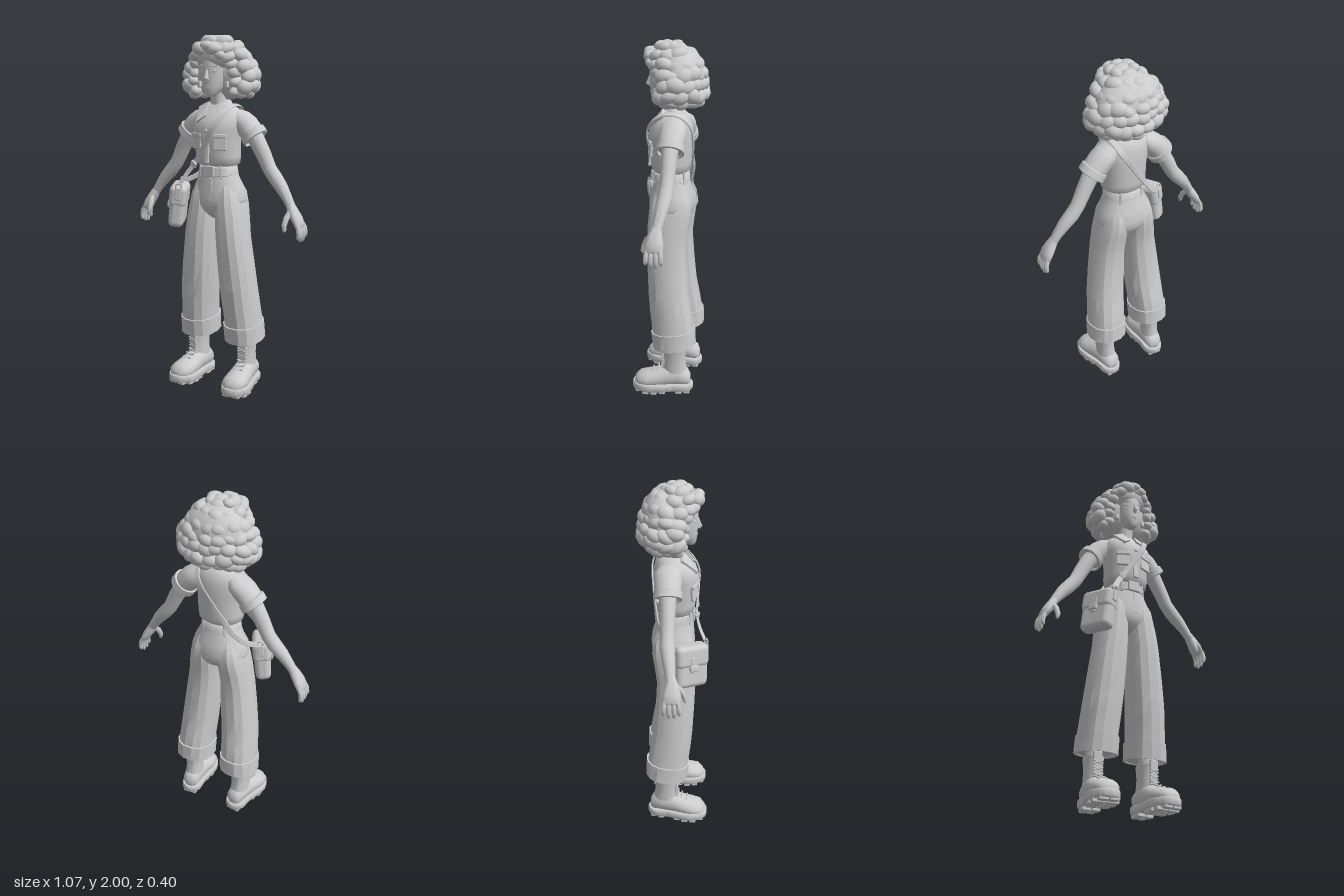
import * as THREE from 'three';
import { toCreasedNormals } from 'three/addons/utils/BufferGeometryUtils.js';
import { RoundedBoxGeometry } from 'three/addons/geometries/RoundedBoxGeometry.js';
import { ConvexGeometry } from 'three/addons/geometries/ConvexGeometry.js';

const V = (x, y, z) => new THREE.Vector3(x, y, z);
const X = V(1, 0, 0), Y = V(0, 1, 0), Z = V(0, 0, 1);
const clay = new THREE.MeshStandardMaterial({ color: 0xcccccc });
clay.name = 'light grey clay';

// Skin rounded cross-sections [x, y, z, ru, rv]; pow above 2 makes them boxier
function loft(secs, { n = 18, ref = X, t = null, pow = 2, crease = 0.9 } = {}) {
  const c = secs.map(s => V(s[0], s[1], s[2])), pos = [], idx = [];
  const sp = k => Math.sign(k) * Math.abs(k) ** (2 / pow);
  secs.forEach((s, i) => {
    const d = (t ? t.clone() : c[Math.min(i + 1, c.length - 1)].clone().sub(c[Math.max(i - 1, 0)])).normalize();
    const r = (typeof ref === 'function' ? ref(c[i], d) : ref).clone();
    const u = r.addScaledVector(d, -r.dot(d)).normalize(), v = u.clone().cross(d);
    for (let j = 0; j < n; j++) {
      const a = j / n * Math.PI * 2;
      pos.push(...c[i].clone().addScaledVector(u, s[3] * sp(Math.cos(a))).addScaledVector(v, s[4] * sp(Math.sin(a))).toArray());
    }
  });
  const last = (secs.length - 1) * n, cap = secs.length * n;
  for (let i = 0; i < secs.length - 1; i++) for (let j = 0; j < n; j++) {
    const a = i * n + j, b = i * n + (j + 1) % n;
    idx.push(a, a + n, b, b, a + n, b + n);
  }
  pos.push(...c[0].toArray(), ...c[c.length - 1].toArray());
  for (let j = 0; j < n; j++) {
    const k = (j + 1) % n;
    idx.push(cap, j, k, cap + 1, last + k, last + j);
  }
  const g = new THREE.BufferGeometry();
  g.setAttribute('position', new THREE.Float32BufferAttribute(pos, 3));
  g.setIndex(idx);
  return toCreasedNormals(g, crease);
}
// Upright section from half width, front z, back z and x offset
const band = ([y, rx, zf, zb, x = 0]) => [x, y, (zf + zb) / 2, rx, (zf - zb) / 2];
const box = (w, h, d, r = 0.006) => new RoundedBoxGeometry(w, h, d, 2, r);
const ball = (r, w = 14, h = 10) => new THREE.SphereGeometry(r, w, h);

function add(parent, name, geo, p = [0, 0, 0], rot = [0, 0, 0], scale = [1, 1, 1]) {
  const m = new THREE.Mesh(geo, clay);
  m.name = name;
  m.position.set(...p); m.rotation.set(...rot); m.scale.set(...scale);
  parent.add(m);
  return m;
}
function group(parent, name) {
  const g = new THREE.Group();
  g.name = name;
  parent.add(g);
  return g;
}

function buildHead(root) {
  const g = group(root, 'head');
  add(g, 'skull', loft([[1.672, .018, .112, .07], [1.688, .036, .12, .03], [1.72, .055, .124, -.01], [1.76, .069, .127, -.05],
    [1.82, .078, .128, -.08], [1.88, .08, .13, -.085], [1.93, .068, .1, -.07], [1.965, .03, .05, -.03]].map(band), { n: 24, t: Y, crease: 1.2 }));
  add(g, 'neck', loft([[0, 1.56, 0, .06, .055], [0, 1.62, .008, .044, .044], [0, 1.72, .02, .044, .046]], { t: Y }));
  add(g, 'nose', new ConvexGeometry([V(0, 1.83, .126), V(.007, 1.815, .122), V(-.007, 1.815, .122), V(.004, 1.77, .15), V(-.004, 1.77, .15),
    V(.013, 1.759, .122), V(-.013, 1.759, .122), V(0, 1.757, .14)]));
  add(g, 'upperLip', ball(.02), [0, 1.728, .118], [0, 0, 0], [1, .25, .5]);
  add(g, 'lowerLip', ball(.017), [0, 1.72, .117], [0, 0, 0], [1, .3, .5]);
  for (const s of [1, -1]) {
    add(g, 'eye', ball(.016), [s * .034, 1.806, .109], [0, s * .4, s * .12], [1, .45, .6]);
    add(g, 'eyebrow', box(.04, .008, .01, .003), [s * .036, 1.834, .114], [0, s * .4, s * .15]);
    add(g, 'earring', box(.022, .034, .022), [s * .088, 1.735, .066]);
  }
}

function buildHair(root) {
  const g = group(root, 'hair');
  let seed = 7;
  const rnd = () => (seed = (seed * 16807) % 2147483647) / 2147483647 - 0.5;
  add(g, 'hairCore', ball(1, 28, 18), [0, 1.808, -.045], [0, 0, 0], [.19, .165, .125]);
  add(g, 'hairCrown', ball(1, 28, 18), [0, 1.89, .015], [0, 0, 0], [.13, .095, .12]);
  const curl = (x, y, z, r) => add(g, 'curl', ball(r, 12, 8), [x, y, z], [rnd(), Math.atan2(x, z), rnd() * .6], [1.2, .85 + rnd() * .25, .9]);
  // Rows of curls: height, half width, half depth, centre z, curl size, count
  [[1.958, .055, .055, .02, .04, 6], [1.925, .102, .1, .01, .042, 10], [1.88, .145, .122, -.005, .043, 14],
    [1.83, .172, .133, -.015, .044, 17], [1.78, .192, .138, -.02, .044, 18], [1.73, .192, .136, -.024, .044, 18], [1.688, .16, .112, -.03, .038, 16]
  ].forEach(([y, rx, rz, cz, r, n], row) => {
    for (let i = 0; i < n; i++) {
      const a = (i + row * .5 + rnd() * .35) / n * Math.PI * 2;
      const x = rx * Math.sin(a), z = cz + rz * Math.cos(a);
      if (y < 1.9 && z > .045) continue;
      curl(x, y + rnd() * .018, z + rnd() * .01, r * (1 + rnd() * .22));
    }
  });
  add(g, 'curl', ball(.045), [.005, 1.962, .015], [0, 0, 0], [1.2, .8, 1.1]);
  // Fringe swept to one side and locks framing the face
  for (const [x, y, z, r] of [[-.05, 1.925, .122, .042], [0, 1.938, .126, .038], [.045, 1.922, .12, .036], [.072, 1.89, .11, .03], [-.082, 1.892, .105, .034]]) curl(x, y, z, r);
  for (const [x, y, z] of [[-.105, 1.885, .08], [.105, 1.88, .08], [-.118, 1.85, .062], [.115, 1.845, .062],
    [-.128, 1.805, .05], [.125, 1.8, .05], [-.138, 1.755, .045], [.135, 1.75, .045], [-.13, 1.7, .035], [.125, 1.7, .035]]) curl(x, y, z, .036);
}

function buildShirt(root) {
  const g = group(root, 'shirt');
  add(g, 'shirtBody', loft([[1.295, .112, .105, -.085], [1.305, .124, .115, -.096], [1.345, .129, .122, -.1], [1.42, .127, .132, -.105], [1.49, .139, .14, -.108],
    [1.545, .148, .122, -.104], [1.585, .135, .085, -.095], [1.612, .095, .062, -.078], [1.635, .052, .045, -.045]].map(band), { n: 28, t: Y, pow: 2.15, crease: 1.1 }));
  add(g, 'backCollar', loft([[1.6, .09, .05, -.075], [1.645, .062, .03, -.06], [1.65, .055, .028, -.053]].map(band), { t: Y }));
  add(g, 'placket', box(.03, .2, .014), [0, 1.41, .127], [-.09, 0, 0]);
  for (const y of [1.345, 1.42, 1.49]) add(g, 'button', ball(.011), [0, y, .129 + (y - 1.345) * .09], [0, 0, 0], [1, 1, .5]);
  for (const s of [1, -1]) {
    const lapel = [V(s * .038, 1.643, .05), V(s * .1, 1.615, .05), V(s * .068, 1.535, .136), V(s * .022, 1.57, .112)];
    add(g, 'lapel', new ConvexGeometry([...lapel, ...lapel.map(p => p.clone().add(V(0, -.008, -.014)))]));
    add(g, 'chestPocket', box(.074, .08, .016), [s * .073, 1.425, .112], [-.08, s * .36, 0]);
    add(g, 'pocketFlap', box(.08, .024, .02), [s * .073, 1.463, .116], [-.08, s * .36, 0]);
    const t = V(s * .64, -.77, 0);
    add(g, 'sleeve', loft([[s * .09, 1.578, -.02, .055, .035], [s * .12, 1.552, -.025, .072, .056], [s * .155, 1.52, -.025, .074, .064], [s * .205, 1.465, -.025, .068, .064]],
      { ref: Z, t, n: 20 }));
    add(g, 'sleeveCuff', loft([[s * .19, 1.483, -.025, .06, .058], [s * .195, 1.477, -.025, .076, .074], [s * .218, 1.446, -.025, .077, .075],
      [s * .22, 1.443, -.025, .068, .066], [s * .21, 1.455, -.025, .064, .062]], { ref: Z, t, n: 20 }));
  }
}

function buildArm(root, s) {
  const g = group(root, s > 0 ? 'leftArm' : 'rightArm');
  const limb = (name, secs, n) => add(g, name, loft(secs.map(([x, ...r]) => [s * x, ...r]), { ref: Z, n, crease: 1.2 }));
  limb('arm', [[.16, 1.52, -.025, .05, .05], [.225, 1.435, -.025, .044, .046], [.265, 1.365, -.026, .041, .043], [.305, 1.285, -.026, .038, .039],
    [.345, 1.235, -.025, .04, .039], [.385, 1.19, -.018, .036, .035], [.425, 1.135, -.01, .029, .027], [.45, 1.095, -.005, .026, .024]], 16);
  limb('palm', [[.442, 1.11, -.005, .025, .023], [.462, 1.075, 0, .037, .027], [.488, 1.035, 0, .049, .025], [.507, 1.0, 0, .05, .019], [.511, .99, 0, .04, .012]], 14);
  [[-.038, .93], [-.013, .912], [.013, .914], [.037, .928]].forEach(([z, tip]) =>
    limb('finger', [[.497, 1.02, z * .9, .012, .013], [.516, .985, z, .0135, .014], [.521, .953, z * 1.08, .012, .013], [.517, tip + .01, z * 1.1, .0105, .011], [.514, tip, z * 1.1, .004, .004]], 8));
  limb('thumb', [[.458, 1.075, .018, .015, .016], [.448, 1.04, .046, .017, .016], [.445, 1.005, .064, .014, .014], [.45, .978, .07, .011, .011], [.453, .968, .071, .004, .004]], 10);
}

function buildTrousers(root) {
  const g = group(root, 'trousers');
  add(g, 'hips', loft([[.985, .012, .03, -.03], [1.005, .04, .075, -.06], [1.035, .1, .105, -.1], [1.07, .16, .118, -.118], [1.11, .165, .12, -.123], [1.17, .145, .115, -.115],
    [1.23, .115, .107, -.092], [1.3, .098, .1, -.08]].map(band), { n: 24, t: Y, pow: 2.2, crease: 1 }));
  add(g, 'belt', loft([[1.238, .108, .106, -.088], [1.242, .112, .111, -.093], [1.285, .106, .109, -.088], [1.29, .1, .1, -.083]].map(band), { n: 24, t: Y, pow: 2.2 }));
  add(g, 'buckle', box(.07, .062, .018), [0, 1.266, .111]);
  add(g, 'fly', box(.022, .13, .01, .004), [.008, 1.165, .111], [-.08, 0, 0]);
  for (const x of [-.065, .065]) for (const z of [.09, -.072]) add(g, 'beltLoop', box(.014, .07, .014, .004), [x, 1.264, z], [0, Math.atan2(x, z), 0]);
  const t = V(0, 1, .12);
  for (const s of [1, -1]) {
    add(g, 'trouserLeg', loft([[.31, .108, .085, -.145, s * .15], [.4, .105, .092, -.146, s * .146], [.5, .105, .105, -.13, s * .138], [.6, .105, .114, -.112, s * .13],
      [.75, .101, .122, -.1, s * .116], [.9, .094, .128, -.092, s * .102], [1.0, .09, .125, -.106, s * .092], [1.07, .084, .12, -.118, s * .083],
      [1.14, .07, .113, -.114, s * .08], [1.2, .05, .09, -.085, s * .07]].map(band), { n: 14, t: Y, pow: 2.2, crease: .45 }));
    add(g, 'trouserCuff', loft([[.36, .09, .07, -.13, s * .15], [.295, .1, .07, -.145, s * .15], [.293, .114, .086, -.16, s * .15], [.39, .112, .099, -.156, s * .146], [.392, .1, .085, -.14, s * .146]].map(band),
      { n: 14, t, pow: 2.2, crease: .45 }));
  }
}

function buildBoot(root, s) {
  const g = group(root, s > 0 ? 'leftBoot' : 'rightBoot');
  g.position.x = s * .167;
  g.rotation.y = s * .1;
  add(g, 'bootFoot', loft([[0, .085, -.132, .025, .03], [0, .095, -.116, .046, .05], [0, .105, -.06, .055, .065], [0, .1, 0, .06, .066], [0, .086, .06, .067, .058],
    [0, .076, .115, .072, .052], [0, .072, .16, .064, .046], [0, .064, .188, .034, .026]], { t: Z, crease: 1.2 }));
  add(g, 'bootShaft', loft([[0, .08, -.045, .052, .08], [0, .14, -.042, .051, .071], [0, .2, -.04, .049, .064], [0, .255, -.04, .053, .067], [0, .272, -.04, .055, .069],
    [0, .276, -.04, .046, .058]], { t: Y }));
  add(g, 'ankle', new THREE.CylinderGeometry(.042, .042, .16, 14), [0, .31, -.04]);
  // Sole outline with a wide toe and a narrow waist, then deep treads
  const path = new THREE.CatmullRomCurve3([[0, -.145], [.05, -.115], [.058, -.03], [.076, .06], [.076, .13], [.042, .188], [0, .2],
    [-.042, .188], [-.076, .13], [-.076, .06], [-.058, -.03], [-.05, -.115]].map(([x, z]) => V(x, -z, 0)), true);
  const sole = new THREE.ExtrudeGeometry(new THREE.Shape(path.getPoints(48).map(p => new THREE.Vector2(p.x, p.y))),
    { depth: .03, bevelThickness: .006, bevelSize: .004, bevelSegments: 1 });
  add(g, 'sole', toCreasedNormals(sole.rotateX(-Math.PI / 2), .6), [0, .026, 0]);
  for (const [z, w] of [[-.112, .044], [-.066, .054], [.03, .066], [.077, .078], [.124, .076], [.166, .056]])
    for (const k of [1, -1]) add(g, 'tread', box(w - .006, .034, .038), [k * w / 2, .017 + (z > .15 ? .006 : 0), z]);
  // Tongue and crossed laces
  add(g, 'tongue', box(.05, .15, .016), [0, .22, .022], [.05, 0, 0]);
  [[.235, .031], [.2, .028], [.167, .034], [.146, .055], [.132, .085]].forEach(([y, z]) => {
    for (const k of [1, -1]) add(g, 'lace', new THREE.CapsuleGeometry(.005, .055, 3, 6), [0, y, z - .002], [0, 0, k * 1.25]);
  });
}

function buildBag(root) {
  const g = group(root, 'shoulderBag');
  const b = group(g, 'bagBody');
  b.position.set(-.213, 1.07, .093);
  b.rotation.set(0, -1.107, -.13, 'ZYX');
  add(b, 'pouch', box(.188, .235, .088, .032), [0, -.012, 0]);
  add(b, 'flap', box(.194, .125, .1, .03), [0, .05, .002]);
  add(b, 'claspStrap', box(.034, .09, .01, .004), [0, .005, .051]);
  add(b, 'clasp', box(.052, .034, .018), [0, -.01, .055]);
  for (const s of [1, -1]) {
    add(b, 'strapTab', box(.012, .07, .034, .005), [s * .098, .07, 0]);
    add(b, 'strapRing', new THREE.TorusGeometry(.016, .005, 6, 14), [s * .096, .113, 0], [0, Math.PI / 2, 0]);
  }
  // Strap over the left shoulder, across chest and back
  const curve = new THREE.CatmullRomCurve3([V(-.158, 1.185, .172), V(-.122, 1.25, .142), V(-.08, 1.31, .128), V(0, 1.43, .138), V(.05, 1.52, .136), V(.088, 1.59, .088), V(.1, 1.622, .02),
    V(.1, 1.615, -.055), V(.075, 1.56, -.108), V(-.01, 1.43, -.109), V(-.075, 1.335, -.095), V(-.13, 1.26, -.08), V(-.19, 1.205, -.04), V(-.235, 1.18, .01)]);
  const secs = curve.getPoints(70).map(p => [p.x, p.y, p.z, .016, .005]);
  const across = (p, d) => d.clone().cross(V(p.x * .5, Math.max(0, p.y - 1.5) * 1.2, p.z));
  add(g, 'strap', loft(secs, { ref: across, n: 8, pow: 3.5, crease: .7 }));
  add(g, 'strapBuckle', box(.042, .03, .016, .004), [-.085, 1.303, .132], [0, -.3, -.55]);
}

export function createModel() {
  const root = new THREE.Group();
  root.name = 'standingWoman';
  buildHead(root);
  buildHair(root);
  buildShirt(root);
  buildTrousers(root);
  for (const s of [1, -1]) {
    buildArm(root, s);
    buildBoot(root, s);
  }
  buildBag(root);
  return root;
}
